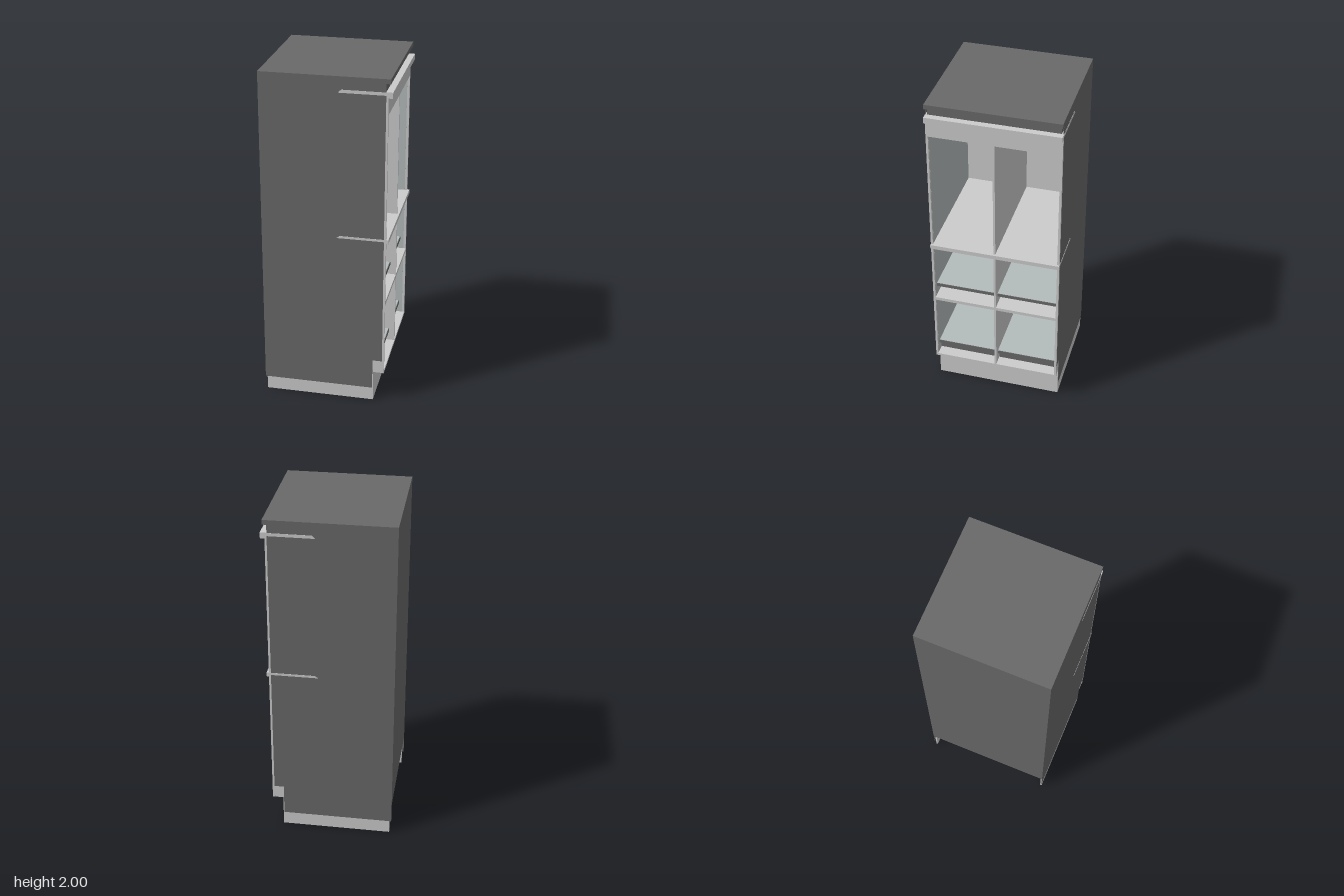
import * as THREE from 'three';

const material = (color) => new THREE.MeshStandardMaterial({ color, flatShading: true });

export function createModel() {
  const light = material(0xcccccc);
  const dark = material(0x696969);
  const tinted = material(0xb4bcbc);
  const cabinet = new THREE.Group();
  cabinet.name = 'cabinet';

  // Box given by its lower and upper limits on each axis
  function box(name, mat, [x0, x1], [y0, y1], [z0, z1]) {
    const mesh = new THREE.Mesh(new THREE.BoxGeometry(x1 - x0, y1 - y0, z1 - z0), mat);
    mesh.position.set((x0 + x1) / 2, (y0 + y1) / 2, (z0 + z1) / 2);
    mesh.name = name;
    cabinet.add(mesh);
    return mesh;
  }

  // Flat profile in x and y, given a thickness along z
  function plate(name, mat, points, z0, z1) {
    const shape = new THREE.Shape(points.map(([x, y]) => new THREE.Vector2(x, y)));
    const geometry = new THREE.ExtrudeGeometry(shape, { depth: z1 - z0, bevelEnabled: false });
    const mesh = new THREE.Mesh(geometry, mat);
    mesh.position.z = z0;
    mesh.name = name;
    cabinet.add(mesh);
  }

  const half = 0.383;
  const bays = [[-0.37, -0.006], [0.006, 0.37]];
  const rows = [[0.205, 0.64], [0.66, 1.035], [1.06, 1.795]];

  // Side panels: light core with toe notch, dark outer skin, tinted lining
  const core = [[-0.365, 0], [0.285, 0], [0.285, 0.19], [0.335, 0.19], [0.335, 1.93], [-0.365, 1.93]];
  const skin = [[-0.376, 0.082], [0.28, 0.082], [0.28, 0.27], [0.337, 0.27], [0.337, 1.975], [-0.376, 1.975]];
  // Ledge returns tapering towards the back
  const taper = (x0, x1, y0, y1) => [[x0, y0], [x1, y0], [x1, y1], [x0 + 0.02, y1]];
  for (const s of [-1, 1]) {
    const slab = (name, mat, points, inner, outer) =>
      plate(name, mat, points, Math.min(s * inner, s * outer), Math.max(s * inner, s * outer));
    slab('sideCore', light, core, 0.371, 0.381);
    slab('sideSkin', dark, skin, 0.3805, half);
    slab('middleLedgeReturn', light, taper(0.062, 0.345, 1.046, 1.06), 0.38, half + 0.001);
    slab('topLedgeReturn', light, taper(0.07, 0.345, 1.908, 1.926), 0.38, half + 0.001);
    const lining = s < 0 ? [-0.372, -0.37] : [0.37, 0.372];
    box('sideLining', tinted, [-0.36, 0.334], [0.2, 1.8], lining);
  }

  // Top, back and the recessed band beneath the top
  box('topPanel', dark, [-0.376, 0.362], [1.973, 2], [-half, half]);
  box('topBand', dark, [-0.37, 0.336], [1.92, 1.974], [-0.372, 0.372]);
  box('backSkin', dark, [-0.376, -0.366], [0.2, 1.975], [-half, half]);
  box('backLining', light, [-0.366, -0.36], [0.2, 1.8], [-0.371, 0.371]);

  // Hollow base with toe kick, and full depth boards
  box('toeKick', light, [0.268, 0.285], [0, 0.19], [-0.381, 0.381]);
  box('floorBoard', light, [-0.365, 0.335], [0.19, 0.205], [-0.371, 0.371]);
  box('lowerBoard', light, [-0.36, 0.335], [0.64, 0.66], [-0.371, 0.371]);
  box('middleBoard', light, [-0.36, 0.335], [1.035, 1.06], [-0.371, 0.371]);
  box('ceilingBoard', light, [-0.36, 0.335], [1.795, 1.81], [-0.371, 0.371]);
  box('divider', light, [-0.36, 0.335], [0.2, 1.8], [-0.005, 0.005]);

  // Face frame with one opening for every bay and row
  const rect = (path, [z0, z1], [y0, y1]) => path
    .moveTo(z0, y0).lineTo(z1, y0).lineTo(z1, y1).lineTo(z0, y1).closePath();
  const frame = rect(new THREE.Shape(), [-half, half], [0.19, 1.9]);
  for (const bay of bays) {
    for (const row of rows) frame.holes.push(rect(new THREE.Path(), bay, row));
  }
  const frameGeometry = new THREE.ExtrudeGeometry(frame, { depth: 0.014, bevelEnabled: false });
  frameGeometry.rotateY(Math.PI / 2);
  const faceFrame = new THREE.Mesh(frameGeometry, light);
  faceFrame.position.x = 0.335;
  faceFrame.name = 'faceFrame';
  cabinet.add(faceFrame);

  // Projecting ledges across the front
  box('middleLedge', light, [0.335, 0.362], [1.035, 1.06], [-half, half]);
  box('topLedge', light, [0.335, 0.374], [1.893, 1.927], [-half, half]);

  // Loose shelves with dark front edges, and the dark riser below the bottom pair
  for (const bay of bays) {
    for (const y of [0.265, 0.72]) {
      box('shelf', tinted, [-0.36, 0.31], [y, y + 0.02], bay);
      box('shelfEdge', dark, [0.31, 0.314], [y, y + 0.02], bay);
    }
    box('bottomRiser', dark, [0.27, 0.28], [0.205, 0.265], bay);
  }

  return cabinet;
}
